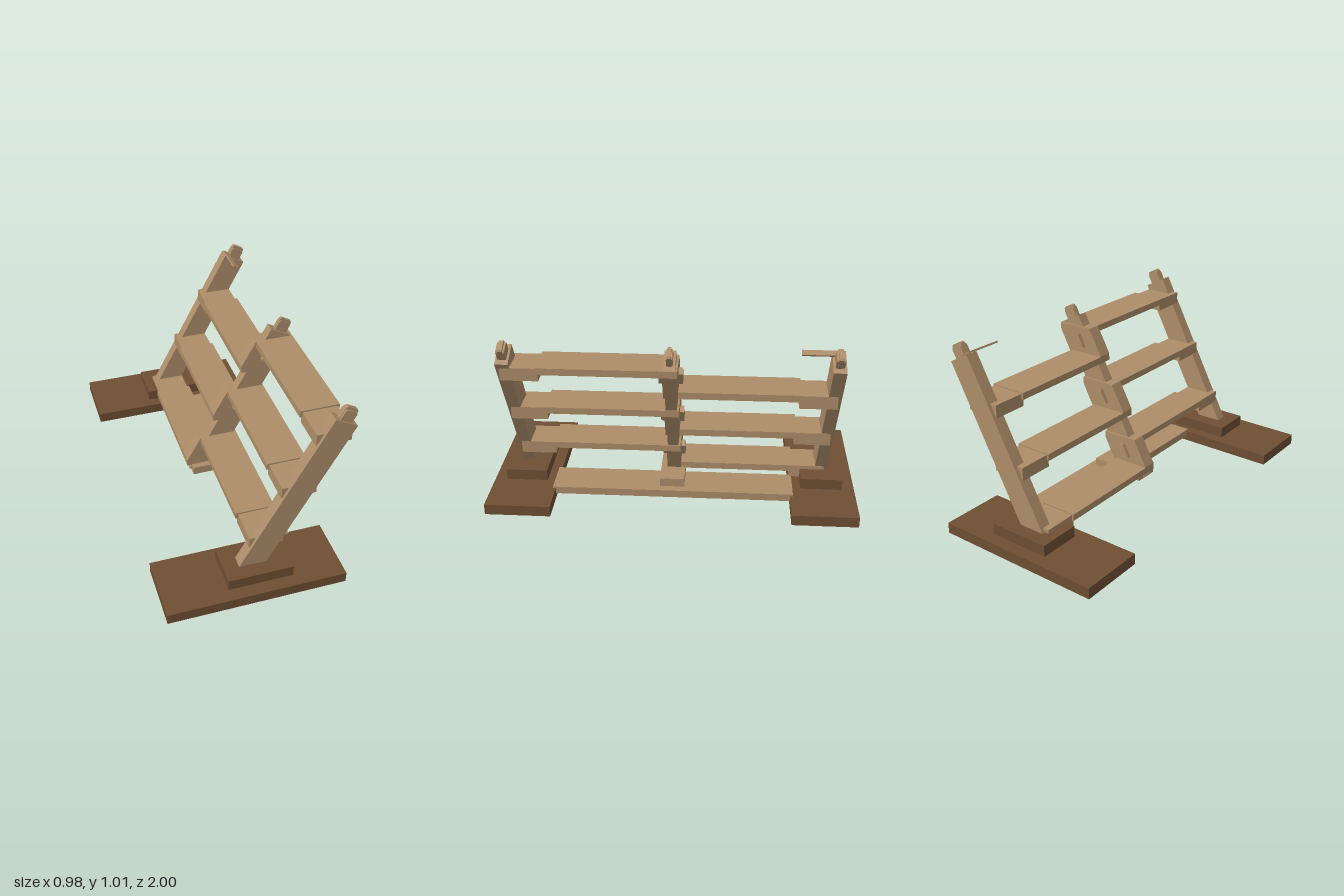
import * as THREE from 'three';

export function createModel() {
  const model = new THREE.Group();
  const wood = new THREE.MeshStandardMaterial({ color: 0xad8d69 });
  wood.name = 'lightWood';
  const dark = new THREE.MeshStandardMaterial({ color: 0x6f4f33 });
  dark.name = 'darkWood';

  // Box given by its limits on each axis
  function box(name, x0, x1, y0, y1, z0, z1, material = wood) {
    const mesh = new THREE.Mesh(new THREE.BoxGeometry(x1 - x0, y1 - y0, z1 - z0), material);
    mesh.position.set((x0 + x1) / 2, (y0 + y1) / 2, (z0 + z1) / 2);
    mesh.name = name;
    model.add(mesh);
    return mesh;
  }

  // Side outline in x and y, extruded from z0 to z1
  function plate(name, points, z0, z1) {
    const shape = new THREE.Shape(points.map(([x, y]) => new THREE.Vector2(x, y)));
    const geometry = new THREE.ExtrudeGeometry(shape, { depth: z1 - z0, bevelEnabled: false });
    geometry.translate(0, 0, z0);
    const mesh = new THREE.Mesh(geometry, wood);
    mesh.name = name;
    model.add(mesh);
  }

  // Lean of the posts: u runs up the post, v across it
  const u = [0.466, 0.885], v = [0.885, -0.466];
  const top = [0.4225, 0.9375];
  const at = (along, across) => [
    top[0] + u[0] * along + v[0] * across,
    top[1] + u[1] * along + v[1] * across,
  ];

  // Leaning post with a layered, chamfered tenon on top
  function post(name, z, half, end, tenon) {
    const foot = (across) => {
      const [x, y] = at(end, across);
      return [x - ((y - 0.08) * u[0]) / u[1], 0.08];
    };
    plate(name, [foot(-0.065), foot(0.065), at(end, 0.065), at(end, -0.065)], z - half, z + half);
    const tip = (h, w) => [
      at(end - 0.02, -w), at(end - 0.02, w), at(end + h - 0.008, w), at(end + h, w - 0.008),
      at(end + h, 0.008 - w), at(end + h - 0.008, -w),
    ];
    plate(name + 'Tenon', tip(0.071, 0.036), z - tenon * 0.55, z + tenon * 0.55);
    plate(name + 'TenonCheeks', tip(0.058, 0.034), z - tenon, z + tenon);
  }
  post('frontPost', 0.823, 0.033, 0, 0.022);
  post('backPost', -0.823, 0.033, 0, 0.022);
  post('middlePost', 0, 0.029, -0.019, 0.016);

  // Base slabs and pads
  for (const s of [1, -1]) {
    const side = s > 0 ? 'front' : 'back';
    const span = (a, b) => (s > 0 ? [a, b] : [-b, -a]);
    box(side + 'BaseSlab', -0.495, 0.45, 0, 0.06, ...span(0.645, 1), dark);
    box(side + 'BasePad', -0.16, 0.185, 0.06, 0.122, ...span(0.705, 0.932), dark);
  }

  // Ground beam and the block under the middle post
  box('groundBeam', 0.06, 0.265, 0.028, 0.07, -0.66, 0.66);
  box('middleFoot', -0.09, 0.22, 0.07, 0.118, -0.065, 0.07);

  // Three alternating pairs of treads
  for (let i = 0; i < 3; i++) {
    const x = -0.155 * i, y = -0.296 * i;
    box('frontTread', 0.272 + x, 0.478 + x, 0.855 + y, 0.891 + y, 0.035, 0.66);
    box('frontBracket', 0.285 + x, 0.466 + x, 0.815 + y, 0.883 + y, 0.648, 0.84);
    box('backTread', 0.193 + x, 0.4 + x, 0.705 + y, 0.742 + y, -0.66, -0.04);
    box('backBracket', 0.205 + x, 0.39 + x, 0.665 + y, 0.735 + y, -0.838, -0.648);

    // Sloping riser joining the two treads at the middle
    plate('riser', [
      [0.193, 0.705], [0.4, 0.705], [0.478, 0.855], [0.478, 0.891], [0.272, 0.891], [0.193, 0.745],
    ].map(([px, py]) => [px + x, py + y]), -0.04, 0.035);

    // Wedge peg through the riser
    const peg = box('wedgePeg', 0.316 + x, 0.36 + x, 0.765 + y, 0.847 + y, -0.062, 0.062);
    peg.rotation.z = -0.485;
  }

  // Thin stick at the top of the back post
  const stick = box('stick', 0.364, 0.396, 0.962, 0.971, -0.84, -0.642);
  stick.rotation.z = -0.485;

  return model;
}
